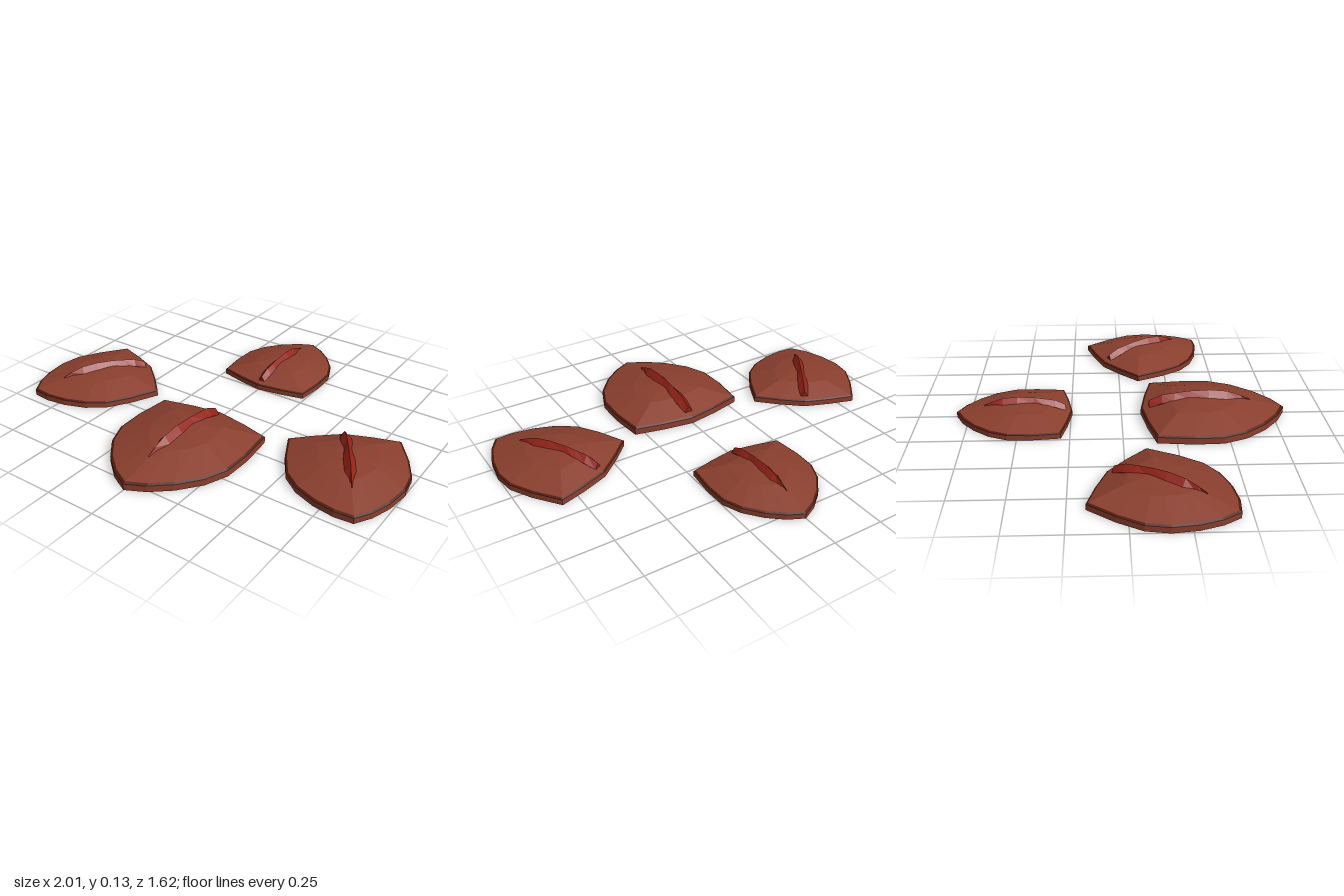
import * as THREE from 'three';

const topMat = new THREE.MeshStandardMaterial({ name: 'scale brown', color: 0x8a3f2e });
const ridgeMat = new THREE.MeshStandardMaterial({ name: 'ridge red', color: 0x942318 });
const darkMat = new THREE.MeshStandardMaterial({ name: 'underside dark brown', color: 0x521a0c });
for (const m of [topMat, ridgeMat, darkMat]) m.flatShading = true;

// Half outline (x, z) from the pointed tip round to the middle of the base edge
const half = [
  [0, 0.35], [0.09, 0.305], [0.18, 0.23], [0.26, 0.13], [0.305, 0.02],
  [0.31, -0.12], [0.293, -0.29], [0.15, -0.325], [0, -0.35],
];
const outline = [...half, ...half.slice(1, -1).reverse().map(([x, z]) => [-x, z])];
const CZ = -0.08; // centre of the dome along z

// Outline scaled about the dome centre, at height y
const ring = (s, y) => outline.map(([x, z]) => [x * s, y, CZ + (z - CZ) * s]);

// Unshared triangles skinning successive closed loops
function loft(loops) {
  const p = [];
  for (let k = 0; k + 1 < loops.length; k++) {
    const a = loops[k], b = loops[k + 1], n = a.length;
    for (let i = 0; i < n; i++) {
      const j = (i + 1) % n;
      p.push(...a[i], ...a[j], ...b[j], ...a[i], ...b[j], ...b[i]);
    }
  }
  const g = new THREE.BufferGeometry();
  g.setAttribute('position', new THREE.Float32BufferAttribute(p, 3));
  g.computeVertexNormals();
  return g;
}

function part(name, geometry, material) {
  const m = new THREE.Mesh(geometry, material);
  m.name = name;
  return m;
}

// Ridge stations: z, half width, crest height
const stations = [
  [-0.315, 0.024, 0.076], [-0.25, 0.03, 0.106], [-0.19, 0.035, 0.115], [-0.12, 0.024, 0.125],
  [-0.02, 0.03, 0.13], [0.07, 0.029, 0.122], [0.14, 0.016, 0.098], [0.185, 0.002, 0.076],
];
function ridgeGeometry() {
  const section = (z, w, h) => [
    [w, 0.04, z], [w, h - 0.033, z], [0, h, z], [-w, h - 0.033, z], [-w, 0.04, z],
  ];
  const [z0, , h0] = stations[0], [z1, , h1] = stations[stations.length - 1];
  const cap = (z, h) => Array.from({ length: 5 }, () => [0, h - 0.03, z]);
  return loft([cap(z0, h0), ...stations.map((s) => section(...s)), cap(z1, h1)]);
}

function createScale(name, x, z, size, turn) {
  const g = new THREE.Group();
  g.name = name;
  g.add(
    part('sideWall', loft([ring(1.015, 0), ring(1.015, 0.031)]), topMat),
    part('rimLip', loft([ring(1.015, 0.031), ring(0.98, 0.037)]), darkMat),
    part('dome', loft([ring(0.98, 0.037), ring(0.5, 0.084), ring(0.2, 0.097), ring(0, 0.1)]), topMat),
    part('underside', loft([ring(0, 0), ring(1.015, 0)]), darkMat),
    part('ridge', ridgeGeometry(), ridgeMat),
  );
  g.position.set(x, 0, z);
  g.rotation.y = turn;
  g.scale.setScalar(size);
  return g;
}

export function createModel() {
  const model = new THREE.Group();
  model.name = 'scalePlates';
  model.add(createScale('frontScale', 0, 0.45, 1, 0));
  model.add(createScale('backScale', 0, -0.527, 0.8, Math.PI));
  for (const s of [1, -1]) {
    model.add(createScale(s > 0 ? 'leftScale' : 'rightScale', s * 0.745, 0.184, 0.875, s * 0.55));
  }
  return model;
}
